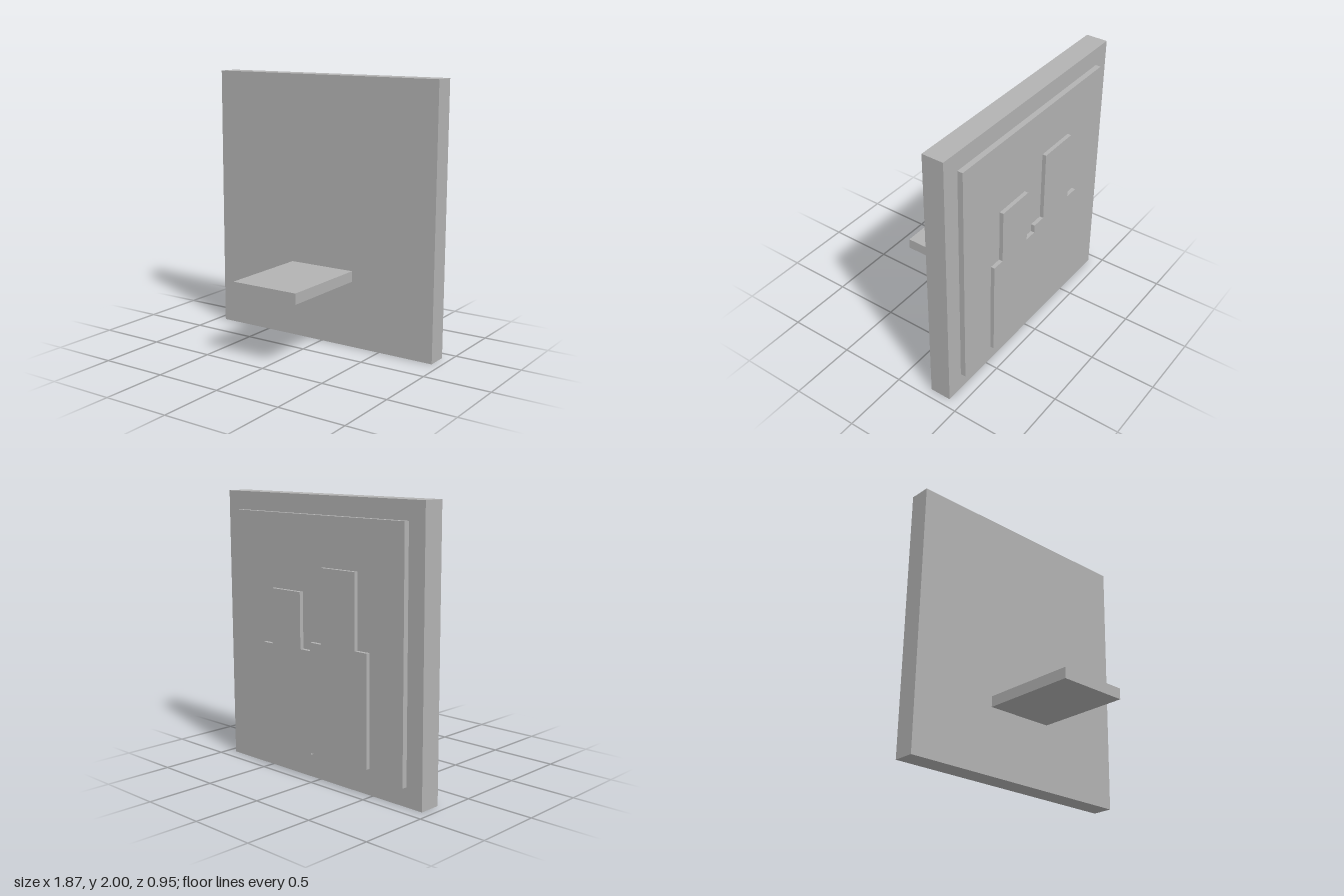
import * as THREE from 'three';

export function createModel() {
  const group = new THREE.Group();
  const grey = new THREE.MeshStandardMaterial({ color: 0xb2b2b2 });
  grey.name = 'plain grey';

  // Box given by its limits on each axis
  const box = (name, [x0, x1], [y0, y1], [z0, z1]) => {
    const mesh = new THREE.Mesh(new THREE.BoxGeometry(x1 - x0, y1 - y0, z1 - z0), grey);
    mesh.position.set((x0 + x1) / 2, (y0 + y1) / 2, (z0 + z1) / 2);
    mesh.name = name;
    group.add(mesh);
  };

  // Upright slab, projecting shelf and raised panel on the back
  box('slab', [-0.935, 0.935], [0, 2], [-0.406, -0.246]);
  box('shelf', [-0.268, 0.266], [0.5, 0.58], [-0.246, 0.475]);
  box('backPanel', [-0.802, 0.802], [0.138, 1.868], [-0.446, -0.406]);

  // Stepped two-tower relief, one continuous outline
  const outline = [
    [-0.51, 0.205], [0.025, 0.205], [0.025, 0.19], [0.505, 0.19],
    [0.505, 0.935], [0.41, 0.935], [0.41, 1.335], [0.12, 1.335],
    [0.12, 0.935], [0.025, 0.935], [0.025, 0.995], [-0.085, 0.995],
    [-0.085, 1.52], [-0.402, 1.52], [-0.402, 0.995], [-0.51, 0.995],
  ];
  const shape = new THREE.Shape(outline.map(([x, y]) => new THREE.Vector2(x, y)));
  const relief = new THREE.Mesh(
    new THREE.ExtrudeGeometry(shape, { depth: 0.029, bevelEnabled: false }), grey);
  relief.position.z = -0.475;
  relief.name = 'towerRelief';
  group.add(relief);

  return group;
}
